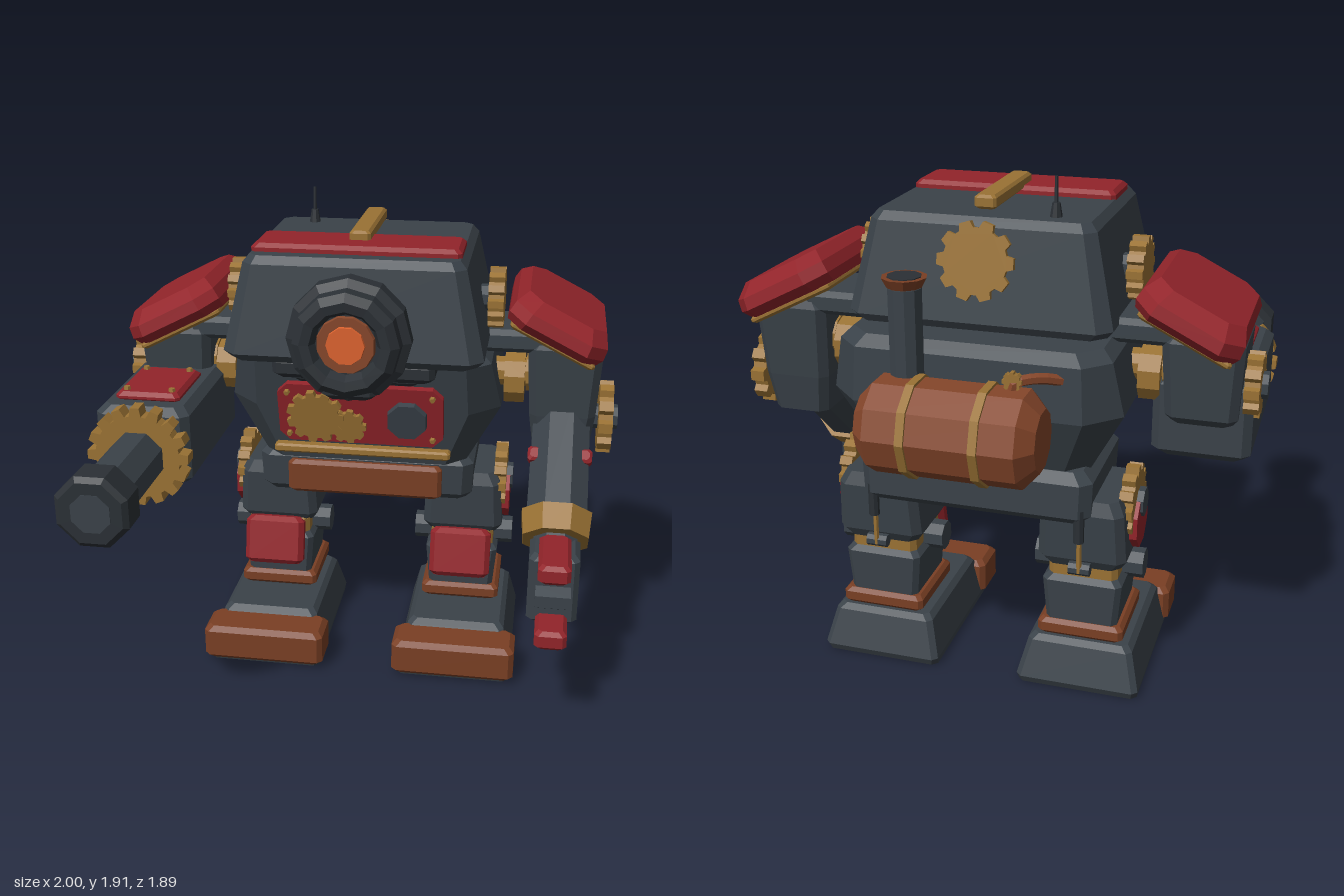
import * as THREE from 'three';

const mat = (name, color) => {
  const m = new THREE.MeshStandardMaterial({ color, flatShading: true });
  m.name = name;
  return m;
};

// Stack of chamfered rectangles, each level [y, x0, x1, z0, z1, chamfer]
function loft(levels) {
  const rings = levels.map(([y, x0, x1, z0, z1, c]) => [
    [x0 + c, y, z1], [x1 - c, y, z1], [x1, y, z1 - c], [x1, y, z0 + c],
    [x1 - c, y, z0], [x0 + c, y, z0], [x0, y, z0 + c], [x0, y, z1 - c]]);
  const pos = [];
  const tri = (a, b, c) => pos.push(...a, ...b, ...c);
  for (let k = 0; k < rings.length - 1; k++) {
    for (let i = 0; i < 8; i++) {
      const j = (i + 1) % 8, lo = rings[k], hi = rings[k + 1];
      tri(lo[i], lo[j], hi[j]);
      tri(lo[i], hi[j], hi[i]);
    }
  }
  const bottom = rings[0], top = rings[rings.length - 1];
  for (let i = 1; i < 7; i++) {
    tri(top[0], top[i], top[i + 1]);
    tri(bottom[0], bottom[i + 1], bottom[i]);
  }
  const g = new THREE.BufferGeometry();
  g.setAttribute('position', new THREE.Float32BufferAttribute(pos, 3));
  g.computeVertexNormals();
  return g;
}

// Symmetric level for loft
const lv = (y, hx, hz, c) => [y, -hx, hx, -hz, hz, c];

// Box with bevelled edges
function block(w, h, d, b = 0.02) {
  return loft([lv(-h / 2, w / 2 - b, d / 2 - b, b), lv(-h / 2 + b, w / 2, d / 2, b),
    lv(h / 2 - b, w / 2, d / 2, b), lv(h / 2, w / 2 - b, d / 2 - b, b)]);
}

// Prism along an axis; r1 is the radius at the positive end
function cyl(axis, r0, r1, len, n = 8) {
  const g = new THREE.CylinderGeometry(r1, r0, len, n, 1, false, Math.PI / n);
  if (axis === 'x') g.rotateZ(-Math.PI / 2);
  if (axis === 'z') g.rotateX(Math.PI / 2);
  return g;
}

// Toothed wheel, centred, facing the given axis
function gear(axis, r, depth, teeth = 10) {
  const s = new THREE.Shape(), step = (Math.PI * 2) / teeth;
  for (let i = 0; i < teeth; i++) {
    [[-0.36, 0.83], [-0.22, 1], [0.22, 1], [0.36, 0.83]].forEach(([a, k], j) => {
      const t = (i + a) * step, x = Math.cos(t) * r * k, y = Math.sin(t) * r * k;
      if (i + j === 0) s.moveTo(x, y); else s.lineTo(x, y);
    });
  }
  const g = new THREE.ExtrudeGeometry(s, { depth, bevelEnabled: false });
  g.translate(0, 0, -depth / 2);
  if (axis === 'x') g.rotateY(Math.PI / 2);
  return g;
}

export function createModel() {
  const iron = mat('iron', 0x3a4249), black = mat('black iron', 0x2b3035);
  const red = mat('red paint', 0x92242a), gold = mat('brass', 0x9a7234);
  const brown = mat('rust brown', 0x7a3f24), copper = mat('copper', 0x85462a);
  const glow = mat('orange glow', 0xdc622e);

  const root = new THREE.Group();
  root.name = 'walkingRobot';
  const group = (name, parent = root, p = [0, 0, 0], r = [0, 0, 0]) => {
    const g = new THREE.Group();
    g.name = name;
    g.position.set(...p);
    g.rotation.set(...r);
    parent.add(g);
    return g;
  };
  const add = (parent, name, geo, material, p = [0, 0, 0], r = [0, 0, 0]) => {
    const m = new THREE.Mesh(geo, material);
    m.name = name;
    m.position.set(...p);
    m.rotation.set(...r);
    parent.add(m);
    return m;
  };

  // Legs
  for (const s of [1, -1]) {
    const leg = group(s > 0 ? 'leftLeg' : 'rightLeg', root, [0.395 * s, 0, 0]);
    add(leg, 'foot', loft([[0, -0.23, 0.23, -0.57, 0.12, 0.02], [0.03, -0.235, 0.235, -0.585, 0.13, 0.02],
      [0.17, -0.2, 0.2, -0.54, 0, 0.02], [0.19, -0.18, 0.18, -0.52, -0.02, 0.02]]), iron);
    add(leg, 'toeCap', block(0.5, 0.15, 0.185), brown, [0, 0.09, 0.062]);
    add(leg, 'ankle', block(0.26, 0.06, 0.28), iron, [0, 0.2, -0.365]);
    add(leg, 'ankleRing', block(0.325, 0.065, 0.345, 0.015), brown, [0, 0.235, -0.365]);
    add(leg, 'shin', loft([lv(0.26, 0.135, 0.155, 0.02), lv(0.43, 0.15, 0.16, 0.02), lv(0.45, 0.13, 0.14, 0.02)]),
      iron, [0, 0, -0.365]);
    add(leg, 'kneeCollar', block(0.26, 0.1, 0.28), gold, [0, 0.48, -0.365]);
    add(leg, 'kneePin', cyl('x', 0.057, 0.057, 0.415), iron, [0, 0.465, -0.36]);
    add(leg, 'kneePad', block(0.25, 0.205, 0.07), red, [0, 0.448, -0.145], [-0.24, 0, 0]);
    add(leg, 'thigh', loft([lv(0.5, 0.14, 0.14, 0.03), lv(0.54, 0.165, 0.165, 0.03),
      lv(0.73, 0.155, 0.18, 0.03), lv(0.78, 0.13, 0.16, 0.03)]), iron, [0, 0, -0.38]);
    add(leg, 'hipGear', gear('x', 0.14, 0.05, 12), gold, [0.15 * s, 0.72, -0.36]);
    add(leg, 'hipPlate', cyl('x', 0.108, 0.108, 0.04), red, [0.17 * s, 0.65, -0.36]);
    add(leg, 'hipBolt', cyl('x', 0.055, 0.055, 0.05), iron, [0.175 * s, 0.72, -0.36]);
    add(leg, 'rearPiston', cyl('y', 0.02, 0.02, 0.2), black, [0, 0.73, -0.575]);
    add(leg, 'rearPistonFoot', cyl('x', 0.025, 0.025, 0.08), iron, [0, 0.51, -0.55]);
    add(leg, 'rearRod', cyl('y', 0.01, 0.01, 0.16, 6), gold, [0, 0.58, -0.565]);
  }

  // Hips
  add(root, 'pelvis', loft([[0.7, -0.41, 0.41, -0.57, -0.13, 0.03], [0.73, -0.435, 0.435, -0.6, -0.1, 0.04],
    [0.86, -0.44, 0.44, -0.6, -0.09, 0.04], [0.9, -0.4, 0.4, -0.57, -0.12, 0.03]]), iron);
  add(root, 'pelvisPlate', block(0.63, 0.14, 0.07, 0.015), brown, [0, 0.785, -0.095]);

  // Torso
  add(root, 'torso', loft([[0.88, -0.41, 0.41, -0.56, -0.05, 0.08], [1.12, -0.54, 0.54, -0.66, 0.01, 0.12],
    [1.32, -0.5, 0.5, -0.65, 0.06, 0.09], [1.36, -0.46, 0.46, -0.61, 0.03, 0.08]]), iron);
  add(root, 'waistStrip', block(0.705, 0.035, 0.06, 0.008), gold, [0, 0.937, -0.02]);
  const chest = group('chestPanel', root, [0, 1.108, 0.018], [0.22, 0, 0]);
  add(chest, 'panel', loft([lv(-0.02, 0.325, 0.13, 0.04), lv(0.02, 0.325, 0.13, 0.04)]), red,
    [0, 0, 0], [Math.PI / 2, 0, 0]);
  add(chest, 'largeGear', gear('z', 0.115, 0.03, 11), gold, [-0.175, -0.005, 0.03]);
  add(chest, 'smallGear', gear('z', 0.075, 0.03, 9), gold, [-0.05, -0.045, 0.025]);
  add(chest, 'gauge', cyl('z', 0.085, 0.08, 0.04), iron, [0.185, -0.005, 0.025]);
  for (const x of [-0.285, 0.285]) for (const y of [-0.095, 0.095]) {
    add(chest, 'rivet', cyl('z', 0.014, 0.01, 0.02, 6), gold, [x, y, 0.025]);
  }

  // Neck
  add(root, 'neckCollar', block(0.61, 0.08, 0.3), black, [0, 1.35, 0.08]);
  add(root, 'jawBar', block(0.48, 0.06, 0.12, 0.015), black, [0, 1.305, 0.1]);
  add(root, 'jawGuard', block(0.2, 0.11, 0.12), black, [0, 1.325, 0.27]);

  // Head
  const head = group('head');
  add(head, 'helmet', loft([[1.38, -0.46, 0.46, -0.53, 0.25, 0.05], [1.41, -0.485, 0.485, -0.55, 0.275, 0.05],
    [1.74, -0.41, 0.41, -0.49, 0.23, 0.04], [1.77, -0.385, 0.385, -0.465, 0.21, 0.03]]), iron);
  add(head, 'browPlate', block(0.775, 0.05, 0.235, 0.015), red, [0, 1.775, 0.037]);
  add(head, 'crest', block(0.08, 0.05, 0.46, 0.01), gold, [0, 1.808, -0.185]);
  add(head, 'antennaBase', cyl('y', 0.024, 0.014, 0.06), black, [-0.25, 1.79, -0.39]);
  add(head, 'antenna', cyl('y', 0.008, 0.006, 0.13, 6), black, [-0.25, 1.845, -0.39]);
  add(head, 'rearGear', gear('z', 0.14, 0.04, 10), gold, [0, 1.625, -0.512], [0.18, 0, 0]);
  for (const s of [1, -1]) {
    add(head, 'earGear', gear('x', 0.118, 0.06, 12), gold, [0.505 * s, 1.55, -0.16]);
    add(head, 'earAxle', cyl('x', 0.05, 0.05, 0.12), iron, [0.46 * s, 1.55, -0.16]);
  }

  // Eye
  const eye = [[0.2, 0.2], [0.23, 0.245], [0.23, 0.31], [0.2, 0.33], [0.195, 0.375], [0.165, 0.4],
    [0.13, 0.395], [0.112, 0.36], [0, 0.36]].map(([r, z]) => new THREE.Vector2(r, z));
  add(head, 'eyeHousing', new THREE.LatheGeometry(eye, 12), black, [0, 1.495, 0], [Math.PI / 2, 0, 0]);
  add(head, 'eyeRing', cyl('z', 0.11, 0.105, 0.015, 12), copper, [0, 1.495, 0.365]);
  add(head, 'eyeLens', cyl('z', 0.075, 0.07, 0.02, 10), glow, [0, 1.495, 0.372]);

  // Shoulders and upper arms
  for (const s of [1, -1]) {
    const arm = group(s > 0 ? 'leftShoulder' : 'rightShoulder');
    const pad = group('pauldron', arm, [0.75 * s, 1.472, -0.262], [0, 0, -0.47 * s]);
    add(pad, 'plate', loft([lv(-0.062, 0.19, 0.28, 0.06), lv(-0.025, 0.2, 0.322, 0.07),
      lv(0.02, 0.195, 0.315, 0.07), lv(0.065, 0.165, 0.25, 0.06)]), red);
    add(pad, 'trim', block(0.36, 0.03, 0.5, 0.01), gold, [0.01 * s, -0.07, 0]);
    add(arm, 'shoulderBar', block(0.3, 0.09, 0.3), iron, [0.57 * s, 1.385, -0.26]);
    add(arm, 'shoulderDisc', cyl('x', 0.105, 0.105, 0.08, 10), gold, [0.585 * s, 1.195, -0.26]);
    add(arm, 'shoulderAxle', cyl('x', 0.06, 0.06, 0.3, 10), gold, [0.6 * s, 1.22, -0.26]);
    add(arm, 'shoulderRing', cyl('x', 0.08, 0.08, 0.04, 10), gold, [0.65 * s, 1.22, -0.26]);
    add(arm, 'upperArm', loft([lv(s > 0 ? 0.93 : 1.05, 0.11, 0.11, 0.03), lv(1.08, 0.13, 0.135, 0.03),
      lv(1.36, 0.145, 0.16, 0.03), lv(1.43, 0.1, 0.13, 0.03)]), iron, [0.78 * s, 0, -0.262]);
    const y = s > 0 ? 1.055 : 1.185;
    add(arm, 'elbowGear', gear('x', s > 0 ? 0.145 : 0.12, 0.055, 10), gold, [0.95 * s, y, s > 0 ? -0.237 : -0.26]);
    add(arm, 'elbowBolt', cyl('x', 0.05, 0.05, 0.14), iron, [0.93 * s, y, s > 0 ? -0.237 : -0.26]);
  }

  // Left forearm and claw; local z runs down the arm
  const fore = group('leftForearm', root, [0.78, 1.055, -0.237], [0.73, 0, 0]);
  add(fore, 'sleeve', cyl('z', 0.12, 0.125, 0.5), iron, [0, 0, 0.21]);
  add(fore, 'cuff', cyl('z', 0.145, 0.135, 0.105), gold, [0, 0, 0.5]);
  add(fore, 'wristCore', cyl('z', 0.09, 0.09, 0.1), iron, [0, 0, 0.56]);
  add(fore, 'sleeveTab', block(0.25, 0.05, 0.06, 0.01), red, [0, 0.05, 0.215]);
  const claw = group('claw', root, [0.78, 0, 0]);
  add(claw, 'palm', block(0.19, 0.285, 0.2), iron, [0, 0.572, 0.27]);
  add(claw, 'clawPin', cyl('x', 0.047, 0.047, 0.13, 6), iron, [0, 0.575, 0.42]);
  add(claw, 'clawPinArm', block(0.05, 0.04, 0.1, 0.005), black, [0, 0.575, 0.38]);
  for (const y of [0.71, 0.44]) add(claw, 'finger', block(0.12, 0.075, 0.285, 0.015), red, [0, y, 0.375]);

  // Right forearm cannon
  const gun = group('cannonArm', root, [-0.778, 1.04, 0]);
  add(gun, 'casing', block(0.36, 0.31, 0.71, 0.03), iron, [0, 0.015, 0.01]);
  add(gun, 'topPlate', block(0.25, 0.04, 0.32, 0.015), red, [0, 0.18, 0.12]);
  for (const x of [-0.088, 0.088]) for (const z of [0.0, 0.24]) {
    add(gun, 'rivet', cyl('y', 0.016, 0.012, 0.02, 6), gold, [x, 0.202, z]);
  }
  add(gun, 'barrelGear', gear('z', 0.195, 0.065, 16), gold, [0, 0, 0.395]);
  add(gun, 'barrel', cyl('z', 0.105, 0.105, 0.48), iron, [0, 0, 0.6]);
  add(gun, 'muzzle', cyl('z', 0.14, 0.14, 0.11), black, [0, 0, 0.855]);
  add(gun, 'muzzleLip', cyl('z', 0.14, 0.12, 0.016), black, [0, 0, 0.918]);
  add(gun, 'bore', cyl('z', 0.075, 0.075, 0.006), iron, [0, 0, 0.926]);

  // Back boiler, straps, chimney and pipe
  const boiler = group('boiler', root, [0.005, 1.1, -0.775]);
  const hull = [[0, -0.32], [0.11, -0.32], [0.172, -0.265], [0.172, 0.265], [0.11, 0.32], [0, 0.32]]
    .map(([r, x]) => new THREE.Vector2(r, x));
  add(boiler, 'tank', new THREE.LatheGeometry(hull, 10), copper, [0, 0, 0], [0, 0, -Math.PI / 2]);
  for (const x of [-0.127, 0.127]) {
    add(boiler, 'strap', new THREE.LatheGeometry([[0.165, -0.015], [0.182, -0.015], [0.182, 0.015], [0.165, 0.015]]
      .map(([r, y]) => new THREE.Vector2(r, y)), 10), gold, [x, 0, 0], [0, 0, -Math.PI / 2]);
  }
  add(boiler, 'mount', block(0.4, 0.2, 0.14), iron, [0, 0, 0.1]);
  add(boiler, 'chimney', cyl('y', 0.06, 0.06, 0.42, 10), iron, [0.187, 0.26, 0.075]);
  add(boiler, 'chimneyCap', cyl('y', 0.062, 0.08, 0.035, 10), brown, [0.187, 0.49, 0.075]);
  add(boiler, 'chimneyHole', cyl('y', 0.06, 0.06, 0.006, 10), black, [0.187, 0.508, 0.075]);
  const path = new THREE.CatmullRomCurve3([[-0.2, 0.12, 0.03], [-0.21, 0.18, 0.03], [-0.28, 0.19, 0.08],
    [-0.345, 0.17, 0.135]].map((p) => new THREE.Vector3(...p)));
  add(boiler, 'steamPipe', new THREE.TubeGeometry(path, 8, 0.02, 6), copper);
  add(boiler, 'pipeValve', gear('z', 0.035, 0.025, 8), gold, [-0.205, 0.19, 0.03]);
  return root;
}
